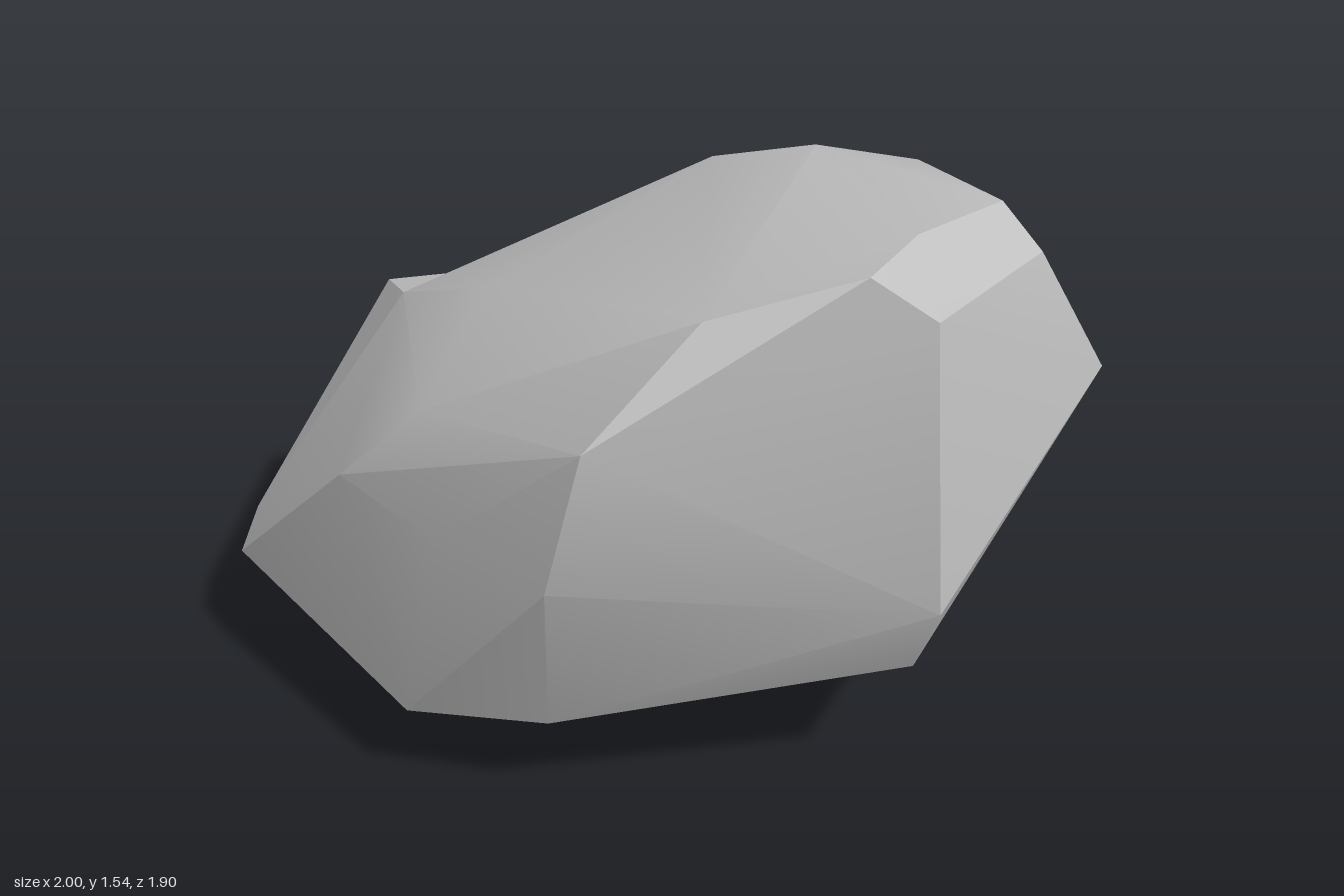
import * as THREE from 'three';
import { ConvexGeometry } from 'three/addons/geometries/ConvexGeometry.js';
import { toCreasedNormals } from 'three/addons/utils/BufferGeometryUtils.js';

// Corners shared by the boulder and its rear ridge
const shared = [
  [-0.47, 0.99, -0.65], [-0.12, 0.89, -0.88], [-0.18, 0.75, -0.95],
  [-0.92, 0.4, -0.74], [-1, 0.31, -0.68], [-0.9, 0.8, -0.12],
];

// Remaining corners of the boulder, grouped by region
const body = [
  // underside
  [0.74, 0, 0.11], [-0.22, 0.11, -0.34], [-0.56, 0.1, 0.15],
  [-0.88, 0.24, 0.15], [-0.62, 0.27, 0.42],
  // front
  [0.18, 0.4, 0.84], [0.16, 0.62, 0.95], [0.11, 1.39, 0.93], [-0.04, 1.51, 0.87],
  [-0.31, 0.91, 0.77], [-0.35, 1.41, 0.69], [-0.64, 1.15, 0.66], [-0.71, 0.78, 0.6],
  // left flank (+x)
  [1, 0.51, 0.36], [0.84, 1, 0.71], [0.58, 1.38, 0.73], [0.54, 1.48, 0.62],
  [0.66, 1.41, 0.15], [0.8, 1.16, -0.34], [0.96, 0.91, -0.53], [0.96, 0.79, -0.61],
  [0.83, 0.91, -0.66],
  // crown
  [0.15, 1.54, 0.79], [0.4, 1.47, 0.05], [0.26, 1.38, -0.22], [0.44, 1.29, -0.37],
  [-0.44, 1.17, -0.2],
  // back
  [0.05, 0.86, -0.9],
  // right flank (-x)
  [-0.83, 0.79, 0.27], [-0.76, 1.03, 0.08],
];

// Peak that lifts the rear ridge above the hollow beside it
const ridgePeak = [-0.39, 0.9, -0.94];

// Faceted hull, softened only across shallow edges
function stonePart(name, corners, material) {
  const hull = new ConvexGeometry(corners.map((c) => new THREE.Vector3(...c)));
  const mesh = new THREE.Mesh(toCreasedNormals(hull, 0.4), material);
  mesh.name = name;
  return mesh;
}

export function createModel() {
  const stone = new THREE.MeshStandardMaterial({ color: 0xc0c0c0 });
  stone.name = 'stone grey';

  const group = new THREE.Group();
  group.name = 'rock';
  group.add(
    stonePart('boulder', [...shared, ...body], stone),
    stonePart('rearRidge', [...shared, ridgePeak], stone),
  );
  return group;
}
